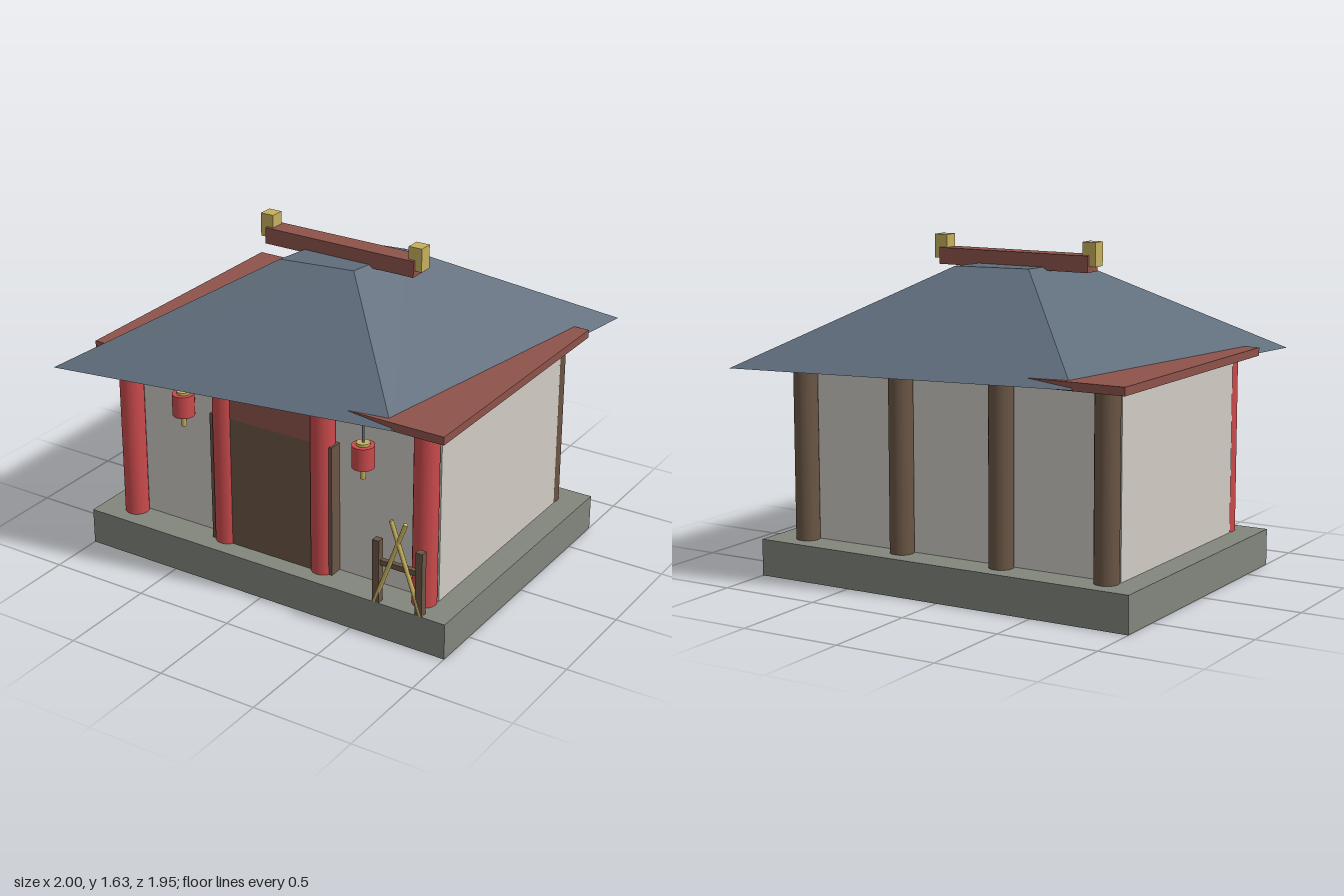
import * as THREE from 'three';

const mat = (name, color) => {
  const m = new THREE.MeshStandardMaterial({ color });
  m.name = name;
  return m;
};

export function createModel() {
  const root = new THREE.Group();
  root.name = 'pavilion';
  const stone = mat('stone', 0x83867d);
  const plaster = mat('plaster', 0xd0ccc4);
  const red = mat('red lacquer', 0xca4a4c);
  const wood = mat('dark wood', 0x6a5645);
  const trim = mat('red brown trim', 0x8e534a);
  const tile = mat('slate tile', 0x5f6c7b);
  const gold = mat('gold', 0xc6b05e);

  const add = (name, geo, material, x, y, z, parent = root) => {
    const m = new THREE.Mesh(geo, material);
    m.name = name;
    m.position.set(x, y, z);
    parent.add(m);
    return m;
  };
  // Box given by its size, x/z centre and bottom height
  const box = (name, material, w, h, d, x, y, z, parent) =>
    add(name, new THREE.BoxGeometry(w, h, d), material, x, y + h / 2, z, parent);
  // Upright cylinder given by its radius, height and bottom height
  const post = (name, material, r, h, x, y, z, parent, seg = 16) =>
    add(name, new THREE.CylinderGeometry(r, r, h, seg), material, x, y + h / 2, z, parent);

  // Plinth, walls and eave board
  box('plinth', stone, 2, 0.18, 1.45, 0, 0, 0);
  box('walls', plaster, 1.75, 0.87, 1.125, 0, 0.18, 0);
  box('eaveBoard', trim, 1.91, 0.04, 1.38, 0, 1.045, 0);

  // Red columns in front, dark wooden ones behind
  for (const x of [-0.82, -0.273, 0.273, 0.82]) {
    post('frontColumn', red, 0.059, 0.87, x, 0.18, 0.6);
    post('backColumn', wood, 0.059, 0.87, x, 0.18, -0.595);
  }

  // Door and the panel above it
  box('door', wood, 0.68, 0.66, 0.08, 0, 0.18, 0.59);
  box('lintel', trim, 0.46, 0.15, 0.08, 0, 0.84, 0.59);

  // Four-sided roof, stretched along one diagonal
  const roofGeo = new THREE.CylinderGeometry(0.304, 1.379, 0.45, 4)
    .scale(0.718, 1, 1).rotateY(-Math.PI / 4).toNonIndexed();
  roofGeo.computeVertexNormals();
  add('roof', roofGeo, tile, 0, 1.275, 0);

  // Ridge beam with gold end blocks
  box('ridge', trim, 0.82, 0.08, 0.1, 0, 1.485, 0);
  for (const s of [-1, 1]) box('ridgeEnd', gold, 0.07, 0.115, 0.07, s * 0.41, 1.513, 0);

  // Hanging lanterns
  for (const s of [-1, 1]) {
    const lantern = new THREE.Group();
    lantern.name = 'lantern';
    lantern.position.set(s * 0.5, 0, 0.617);
    post('cord', tile, 0.006, 0.15, 0, 0.9, 0, lantern, 8);
    post('topCap', gold, 0.032, 0.015, 0, 0.895, 0, lantern);
    post('shade', red, 0.054, 0.11, 0, 0.787, 0, lantern);
    post('bottomCap', gold, 0.03, 0.015, 0, 0.775, 0, lantern);
    post('tassel', gold, 0.013, 0.055, 0, 0.728, 0, lantern, 8);
    root.add(lantern);
  }

  // Rack with two crossed staves
  const rack = new THREE.Group();
  rack.name = 'rack';
  rack.position.x = 0.748;
  for (const s of [-1, 1]) {
    box('rackPost', wood, 0.035, 0.32, 0.036, s * 0.113, 0.18, 0.707, rack);
    const stave = post('stave', gold, 0.011, 0.468, s * 0.042, 0.166, 0.716, rack, 8);
    stave.rotation.z = s * 0.349;
  }
  box('rackBar', wood, 0.2, 0.026, 0.025, 0, 0.374, 0.703, rack);
  root.add(rack);

  return root;
}
